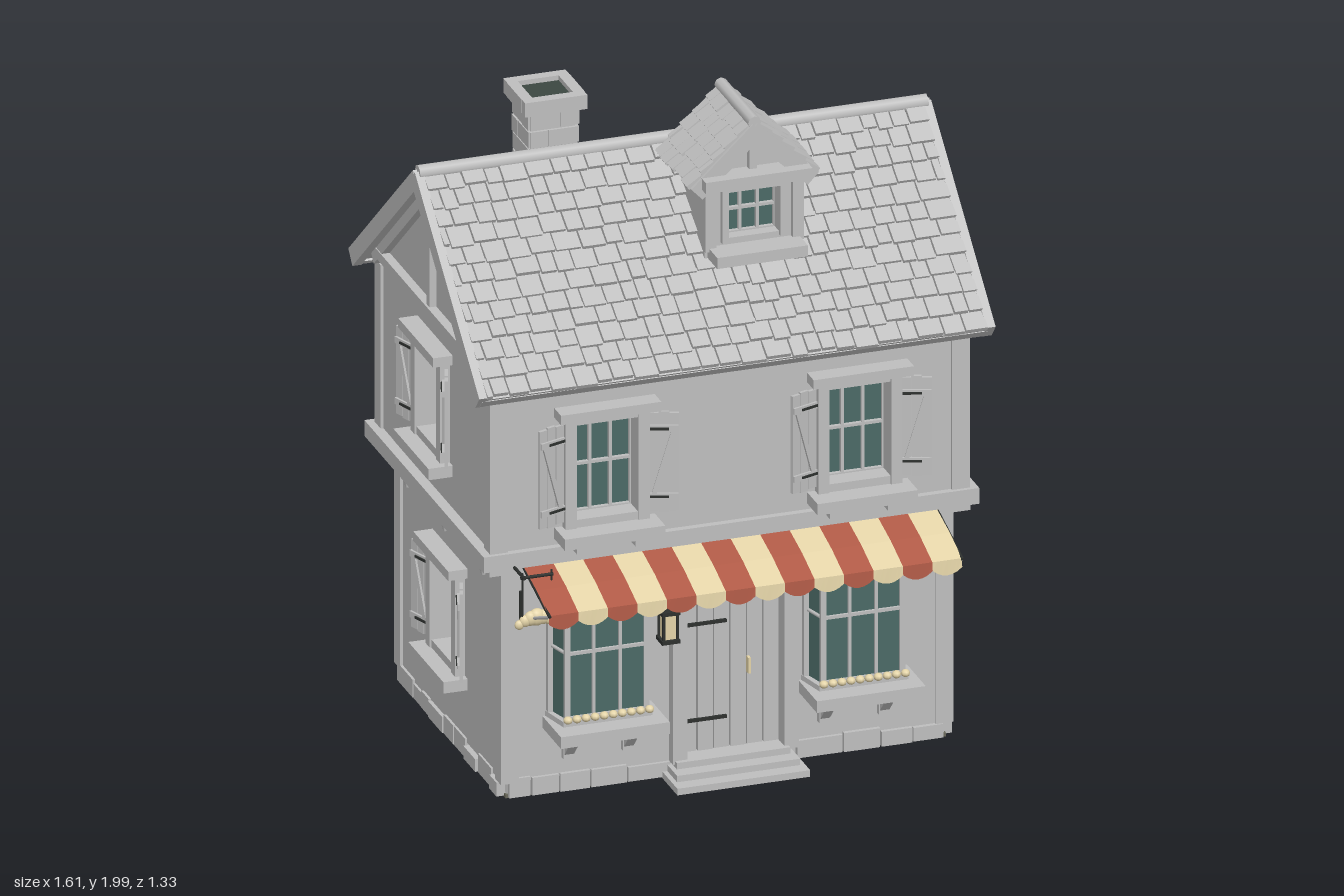
import * as THREE from 'three';
import { mergeGeometries } from 'three/addons/utils/BufferGeometryUtils.js';

const mat = (name, color, side = THREE.FrontSide) => {
  const m = new THREE.MeshStandardMaterial({ color, side });
  m.name = name;
  return m;
};

export function createModel() {
  const stone = mat('paleGrey', 0xbebebe);
  const glass = mat('tealGlass', 0x4b6a66);
  const iron = mat('darkIron', 0x2d302e);
  const red = mat('awningRed', 0xb05a46, THREE.DoubleSide);
  const cream = mat('cream', 0xe4d4a8, THREE.DoubleSide);
  const floorMat = mat('earthFloor', 0x6a695b);
  const soot = mat('sootGreen', 0x3c4741);

  let seed = 7;
  const rnd = () => (seed = (seed * 16807) % 2147483647) / 2147483647;
  const root = new THREE.Group();
  root.name = 'cottageShop';

  const add = (p, name, geo, m, x = 0, y = 0, z = 0) => {
    const mesh = new THREE.Mesh(geo, m);
    mesh.name = name;
    mesh.position.set(x, y, z);
    p.add(mesh);
    return mesh;
  };
  const box = (p, name, m, w, h, d, x, y, z) => add(p, name, new THREE.BoxGeometry(w, h, d), m, x, y, z);
  const group = (p, name, x = 0, y = 0, z = 0, ry = 0, rx = 0) => {
    const g = new THREE.Group();
    g.name = name;
    g.position.set(x, y, z);
    g.rotation.set(rx, ry, 0, 'YXZ');
    p.add(g);
    return g;
  };
  // Straight bar between two points
  const rod = (p, name, m, a, b, r = 0.004) => {
    const A = new THREE.Vector3(...a), d = new THREE.Vector3(...b).sub(A);
    const mesh = add(p, name, new THREE.CylinderGeometry(r, r, d.length(), 6), m);
    mesh.position.copy(A).addScaledVector(d, 0.5);
    mesh.quaternion.setFromUnitVectors(new THREE.Vector3(0, 1, 0), d.normalize());
  };
  const polygon = pts => new THREE.Shape(pts.map(q => new THREE.Vector2(...q)));
  const prism = (pts, depth, holes = []) => {
    const s = polygon(pts);
    s.holes = holes.map(polygon);
    return new THREE.ExtrudeGeometry(s, { depth, bevelEnabled: false });
  };
  const rect = (x0, x1, y0, y1) => [[x0, y0], [x1, y0], [x1, y1], [x0, y1]];
  // Wall panel with openings, outer face on local z = 0
  const wall = (p, w, y0, y1, holes) =>
    add(p, 'wall', prism(rect(-w / 2, w / 2, y0, y1), 0.07, holes.map(h => rect(...h))), stone, 0, 0, -0.07);

  // Glass with glazing bars, set back in its opening
  const glazing = (p, x, y0, y1, w, cols = 3, rows = 2) => {
    const h = y1 - y0, y = (y0 + y1) / 2;
    box(p, 'glass', glass, w, h, 0.01, x, y, -0.055);
    for (let i = 0; i <= cols; i++) box(p, 'glazingBar', stone, 0.009, h, 0.016, x - w / 2 + (w * i) / cols, y, -0.045);
    for (let i = 0; i <= rows; i++) box(p, 'glazingBar', stone, w, 0.009, 0.016, x, y0 + (h * i) / rows, -0.045);
  };

  // Shuttered window with frame, lintel and sill
  const shutteredWindow = (face, x, y0, y1, sillDepth = 0.075) => {
    const p = group(face, 'window', x);
    const w = 0.19, h = y1 - y0, y = (y0 + y1) / 2;
    glazing(p, 0, y0, y1, w);
    for (const s of [-1, 1]) {
      box(p, 'jamb', stone, 0.035, h + 0.05, 0.05, s * 0.1125, y, 0.005);
      const leaf = group(p, 'shutter', s * 0.132, y, 0.012, -s * 0.33);
      for (let i = 0; i < 3; i++) box(leaf, 'plank', stone, 0.028, h + 0.01 + (i % 2) * 0.008, 0.01, s * (0.015 + i * 0.03), 0, 0);
      for (const k of [-1, 1]) {
        box(leaf, 'batten', stone, 0.085, 0.02, 0.008, s * 0.045, k * h * 0.36, 0.008);
        box(leaf, 'hinge', iron, 0.06, 0.007, 0.006, s * 0.03, k * h * 0.36, 0.013);
      }
      box(leaf, 'brace', stone, 0.014, h * 0.74, 0.008, s * 0.045, 0, 0.008).rotation.z = -s * 0.28;
    }
    box(p, 'headRail', stone, 0.26, 0.025, 0.045, 0, y1 + 0.0125, 0.002);
    box(p, 'footRail', stone, 0.26, 0.025, 0.045, 0, y0 - 0.0125, 0.002);
    box(p, 'lintel', stone, 0.31, 0.03, 0.07, 0, y1 + 0.04, 0.025);
    box(p, 'sill', stone, 0.31, 0.036, sillDepth + 0.02, 0, y0 - 0.043, sillDepth / 2 - 0.01);
  };
  const win = (x, y0, y1) => [x - 0.095, x + 0.095, y0, y1];

  // Wall faces of one storey: front, left, back, right
  const storey = (name, hx, hz, cz) => [0, 1, 2, 3].map(i => {
    const d = i % 2 ? hx : hz, a = (i * Math.PI) / 2;
    return group(root, name + ['Front', 'Left', 'Back', 'Right'][i], Math.sin(a) * d, 0, cz + Math.cos(a) * d, a);
  });
  const corners = (hx, hz, cz, y0, y1) => {
    for (const sx of [-1, 1]) for (const sz of [-1, 1])
      box(root, 'cornerPost', stone, 0.055, y1 - y0, 0.055, sx * (hx - 0.019), (y0 + y1) / 2, cz + sz * (hz - 0.019));
  };

  // Ground floor
  const low = storey('groundFloor', 0.69, 0.465, -0.07);
  low.forEach((f, i) => {
    const w = i % 2 ? 0.93 : 1.38;
    wall(f, w, 0.05, 0.76, i ? [win(0, 0.28, 0.55)] : [[-0.135, 0.17, 0.06, 0.57]]);
    if (!i) return;
    shutteredWindow(f, 0, 0.28, 0.55);
    for (const x of [-1, 0, 1]) {
      const c = group(f, 'corbel', x * (i % 2 ? 0.335 : 0.45), 0.75, 0);
      const wedge = add(c, 'corbelWedge', new THREE.CylinderGeometry(0.026, 0.007, 0.07, 6), stone, 0, -0.05, 0.014);
      wedge.scale.x = 0.7;
      box(c, 'corbelCap', stone, 0.045, 0.02, 0.05, 0, -0.01, 0.02);
    }
  });
  corners(0.69, 0.465, -0.07, 0.05, 0.76);

  // Upper floor
  const up = storey('upperFloor', 0.732, 0.503, -0.083);
  up.forEach((f, i) => {
    if (i) {
      wall(f, i % 2 ? 1.006 : 1.464, 0.76, 1.34, [win(0, 0.96, 1.23)]);
      shutteredWindow(f, 0, 0.96, 1.23);
    } else {
      wall(f, 1.464, 0.76, 1.34, [win(-0.385, 0.88, 1.18), win(0.395, 0.88, 1.18)]);
      for (const x of [-0.385, 0.395]) {
        shutteredWindow(f, x, 0.88, 1.18, 0.095);
        for (const s of [-1, 1]) box(f, 'sillBracket', stone, 0.03, 0.035, 0.06, x + s * 0.09, 0.803, 0.03);
      }
    }
  });
  corners(0.732, 0.503, -0.083, 0.79, 1.32);
  box(root, 'floorBeam', stone, 1.53, 0.05, 1.055, 0, 0.775, -0.086);
  box(root, 'beamMoulding', stone, 1.485, 0.025, 1.02, 0, 0.74, -0.083);

  // Foundation stones and floor
  box(root, 'floor', floorMat, 1.36, 0.012, 0.92, 0, 0.006, -0.07);
  box(root, 'foundation', stone, 1.35, 0.045, 0.91, 0, 0.035, -0.07);
  low.forEach((f, i) => {
    const half = i % 2 ? 0.45 : 0.675;
    for (let x = -half; x < half - 0.03;) {
      const w = Math.min(0.07 + rnd() * 0.08, half - x), h = 0.04 + rnd() * 0.022;
      box(f, 'foundationStone', stone, w - 0.005, h, 0.04, x + w / 2, 0.004 + h / 2, -0.014 + rnd() * 0.008);
      x += w;
    }
  });

  // Door and steps
  const front = low[0];
  const door = group(front, 'door', 0.0175);
  for (let i = 0; i < 6; i++) box(door, 'doorPlank', stone, 0.047, 0.51, 0.02, -0.127 + i * 0.0508, 0.315, -0.03 + (i % 2) * 0.003);
  for (const y of [0.16, 0.465]) box(door, 'doorHinge', iron, 0.125, 0.01, 0.008, -0.075, y, -0.014);
  box(door, 'doorHandle', cream, 0.008, 0.05, 0.02, 0.055, 0.315, -0.012);
  for (const s of [-1, 1]) box(door, 'doorPost', stone, 0.045, 0.54, 0.06, s * 0.172, 0.32, 0.005);
  box(door, 'doorHead', stone, 0.39, 0.03, 0.07, 0, 0.58, 0.01);
  for (let i = 0; i < 3; i++) {
    const d = 0.14 - i * 0.045;
    box(root, 'step', stone, 0.41 - i * 0.03, 0.021, d, 0.005, 0.0105 + i * 0.02, 0.395 + d / 2);
  }

  // Bay shop windows
  for (const x of [-0.4, 0.39]) {
    const bay = group(front, 'bayWindow', x);
    const slab = (name, m, wo, wi, d, y, h) => {
      const g = prism([[-wo, 0], [wo, 0], [wi, -d], [-wi, -d]].reverse(), h).rotateX(-Math.PI / 2);
      add(bay, name, g, m, 0, y, 0);
    };
    slab('bayGlass', glass, 0.145, 0.122, 0.085, 0.26, 0.37);
    slab('bayRoof', stone, 0.168, 0.145, 0.108, 0.625, 0.035);
    slab('bayBase', stone, 0.16, 0.137, 0.1, 0.245, 0.02);
    box(bay, 'baySill', stone, 0.336, 0.037, 0.165, 0, 0.23, 0.0825);
    for (const s of [-1, 1]) {
      box(bay, 'cornerMullion', stone, 0.016, 0.37, 0.016, s * 0.122, 0.445, 0.085);
      box(bay, 'wallMullion', stone, 0.018, 0.37, 0.018, s * 0.147, 0.445, 0.008);
      box(bay, 'mullion', stone, 0.009, 0.37, 0.012, s * 0.041, 0.445, 0.087);
      rod(bay, 'sideBar', stone, [s * 0.146, 0.475, 0], [s * 0.124, 0.475, 0.085], 0.006);
      // Bracket under the sill
      box(bay, 'sillPost', stone, 0.035, 0.1, 0.02, s * 0.092, 0.16, 0.01);
      const strut = box(bay, 'sillStrut', stone, 0.03, 0.12, 0.02, s * 0.092, 0.165, 0.045);
      strut.rotation.x = 0.75;
    }
    for (const y of [0.27, 0.475, 0.615]) box(bay, 'crossBar', stone, 0.24, 0.01, 0.012, 0, y, 0.087);
    for (let i = 0; i < 10; i++) {
      const loaf = add(bay, 'loaf', new THREE.SphereGeometry(0.014, 8, 6), cream, -0.126 + i * 0.028, 0.272, 0.106);
      loaf.scale.y = 0.85;
    }
  }

  // Striped awning with scalloped valance
  const awning = group(root, 'awning');
  const rows = [[0.638, 0.66], [0.685, 0.657], [0.722, 0.55], [0.752, 0.425]];
  for (let i = 0; i < 14; i++) {
    const g = new THREE.PlaneGeometry(0.0911, 3, 6, 3), pos = g.attributes.position;
    for (let k = 0; k < pos.count; k++) {
      const r = Math.round(pos.getY(k) + 1.5), u = pos.getX(k) / 0.0455;
      pos.setXYZ(k, pos.getX(k), rows[r][0] + (r ? 0 : 0.02 * u * u), rows[r][1]);
    }
    const flat = g.toNonIndexed();
    flat.computeVertexNormals();
    add(awning, 'awningStripe', flat, i % 2 ? cream : red, -0.594 + i * 0.0911);
  }
  for (const s of [-1, 1]) {
    const x = s * 0.637;
    rod(awning, 'awningArm', stone, [x, 0.57, 0.4], [x, 0.68, 0.655], 0.005);
    rod(awning, 'awningRail', iron, [x, 0.748, 0.42], [x, 0.682, 0.66], 0.005);
    rod(awning, 'awningMount', iron, [x, 0.57, 0.405], [x, 0.66, 0.405], 0.006);
  }
  rod(awning, 'frontRail', iron, [-0.637, 0.68, 0.65], [0.637, 0.68, 0.65]);

  // Hanging pastry sign
  const sign = group(root, 'hangingSign', -0.625, 0, 0.51);
  rod(sign, 'signArm', iron, [-0.045, 0.755, -0.1], [-0.045, 0.755, 0.02], 0.005);
  rod(sign, 'signBar', iron, [-0.05, 0.75, 0], [0.05, 0.75, 0], 0.005);
  for (const s of [-1, 1]) rod(sign, 'signHanger', iron, [s * 0.045, 0.765, 0], [s * 0.045, 0.62, 0], 0.003);
  for (let i = -3; i <= 3; i++) {
    const roll = add(sign, 'pastryRoll', new THREE.SphereGeometry(0.027 - Math.abs(i) * 0.004, 10, 8), cream, i * 0.018, 0.62 - i * i * 0.002, 0);
    roll.scale.z = 0.7;
  }

  // Wall lantern
  const lamp = group(front, 'lantern', -0.197, 0, 0.05);
  box(lamp, 'lanternGlass', cream, 0.038, 0.08, 0.038, 0, 0.505, 0);
  for (const y of [0.46, 0.55]) box(lamp, 'lanternPlate', iron, 0.056, 0.012, 0.056, 0, y, 0);
  for (const a of [-1, 1]) for (const b of [-1, 1]) box(lamp, 'lanternPost', iron, 0.007, 0.09, 0.007, a * 0.021, 0.505, b * 0.021);
  rod(lamp, 'lanternHook', iron, [0, 0.55, 0], [0, 0.59, 0]);
  rod(lamp, 'lanternArm', iron, [0, 0.585, -0.05], [0, 0.585, 0.01]);

  // Tiled slope running down along local +z from its ridge
  const slope = (p, name, x, y, z, ry, a, w, len, n, tile) => {
    const g = group(p, name, x, y, z, ry, a), parts = [], pitch = len / n;
    box(g, 'roofBoard', stone, w, 0.03, len, 0, -0.015, len / 2);
    for (let r = 0; r < n; r++) {
      for (let t = -w / 2; t < w / 2 - 0.005;) {
        let tw = tile * (0.7 + rnd() * 0.6) * (r % 2 && t === -w / 2 ? 0.5 : 1);
        if (w / 2 - t - tw < tile * 0.4) tw = w / 2 - t;
        const b = new THREE.BoxGeometry(tw - 0.005, 0.014, pitch * 1.15);
        b.rotateX(-0.14 - rnd() * 0.05);
        b.translate(t + tw / 2, 0.008 + rnd() * 0.004, pitch * (r + 0.48) + (rnd() - 0.5) * 0.012);
        parts.push(b);
        t += tw;
      }
    }
    add(g, 'roofTiles', mergeGeometries(parts), stone);
    return g;
  };

  // Main roof
  for (const ry of [0, Math.PI]) {
    const g = slope(root, 'roofSlope', 0, 1.803, -0.085, ry, 0.705, 1.55, 0.745, 12, 0.062);
    for (const s of [-1, 1]) {
      box(g, 'rakeBoard', stone, 0.028, 0.055, 0.75, s * 0.783, -0.012, 0.372);
      box(g, 'gableRafter', stone, 0.03, 0.035, 0.66, s * 0.742, -0.045, 0.34);
    }
    box(g, 'eaveBoard', stone, 1.57, 0.03, 0.025, 0, -0.022, 0.735);
    for (let i = -3; i <= 3; i++) box(g, 'rafterTail', stone, 0.025, 0.03, 0.11, i * 0.207, -0.042, 0.675);
    if (ry) for (const x of [-0.005, 0.28]) box(g, 'ridgeSlab', stone, 0.11, 0.02, 0.025, -x, 0.035, 0.085);
  }
  const ridge = add(root, 'ridgeCap', new THREE.CylinderGeometry(0.024, 0.024, 1.57, 8), stone, 0, 1.81, -0.085);
  ridge.rotation.z = Math.PI / 2;
  const gable = add(root, 'gableWalls', prism([[-0.5, 1.3], [0.5, 1.3], [0.5, 1.355], [0, 1.775], [-0.5, 1.355]], 1.464), stone, -0.732, 0, -0.085);
  gable.rotation.y = Math.PI / 2;
  for (const s of [-1, 1]) {
    box(root, 'gablePost', stone, 0.03, 0.4, 0.026, s * 0.738, 1.57, -0.085);
    box(root, 'gableTie', stone, 0.04, 0.03, 0.98, s * 0.74, 1.367, -0.085);
  }

  // Dormer
  const dormer = group(root, 'dormer', 0.14);
  const dFace = group(dormer, 'dormerFront', 0, 0, 0.23);
  wall(dFace, 0.3, 1.54, 1.82, [[-0.08, 0.08, 1.61, 1.76]]);
  glazing(dFace, 0, 1.61, 1.76, 0.16);
  for (const s of [-1, 1]) {
    box(dormer, 'dormerCheek', stone, 0.03, 0.28, 0.25, s * 0.135, 1.68, 0.085);
    box(dormer, 'dormerPost', stone, 0.035, 0.22, 0.03, s * 0.135, 1.69, 0.23);
    box(dormer, 'dormerJamb', stone, 0.02, 0.17, 0.02, s * 0.09, 1.685, 0.235);
    const g = slope(dormer, 'dormerSlope', 0, 1.962, 0.095, s * Math.PI / 2, 0.76, 0.295, 0.262, 5, 0.06);
    for (const e of [-1, 1]) box(g, 'dormerRake', stone, 0.025, 0.05, 0.262, e * 0.142, -0.015, 0.131);
  }
  box(dormer, 'dormerHead', stone, 0.2, 0.02, 0.02, 0, 1.77, 0.235);
  box(dormer, 'dormerSill', stone, 0.28, 0.035, 0.1, 0, 1.573, 0.265);
  box(dormer, 'dormerTie', stone, 0.33, 0.035, 0.06, 0, 1.803, 0.255);
  add(dormer, 'dormerGable', prism([[-0.17, 1.8], [0.17, 1.8], [0, 1.95]], 0.25), stone, 0, 0, -0.04);
  box(dormer, 'dormerKingPost', stone, 0.024, 0.13, 0.025, 0, 1.87, 0.22);
  const cap = add(dormer, 'dormerRidge', new THREE.CylinderGeometry(0.02, 0.02, 0.3, 8), stone, 0, 1.972, 0.095);
  cap.rotation.x = Math.PI / 2;

  // Chimney
  const chimney = group(root, 'chimney', -0.355, 0, -0.188);
  box(chimney, 'chimneyCore', stone, 0.136, 0.36, 0.136, 0, 1.765, 0);
  for (let i = 0; i < 6; i++) {
    const s = i % 2 ? 1 : -1, off = s * 0.018, y = 1.625 + i * 0.056;
    for (const k of [-1, 1]) {
      const w = 0.075 - k * off;
      box(chimney, 'chimneyBrick', stone, w - 0.004, 0.05, 0.148 + rnd() * 0.012, k * w / 2 + off * 0.5 + off * 0.5, y, 0);
      box(chimney, 'chimneyBrick', stone, 0.148 + rnd() * 0.012, 0.05, w - 0.004, 0, y, k * w / 2 + off);
    }
  }
  box(chimney, 'chimneyHole', soot, 0.13, 0.005, 0.13, 0, 1.962, 0);
  for (const s of [-1, 1]) {
    box(chimney, 'chimneyCap', stone, 0.192, 0.045, 0.034, 0, 1.957, s * 0.08);
    box(chimney, 'chimneyCap', stone, 0.034, 0.045, 0.126, s * 0.08, 1.957, 0);
  }
  return root;
}
